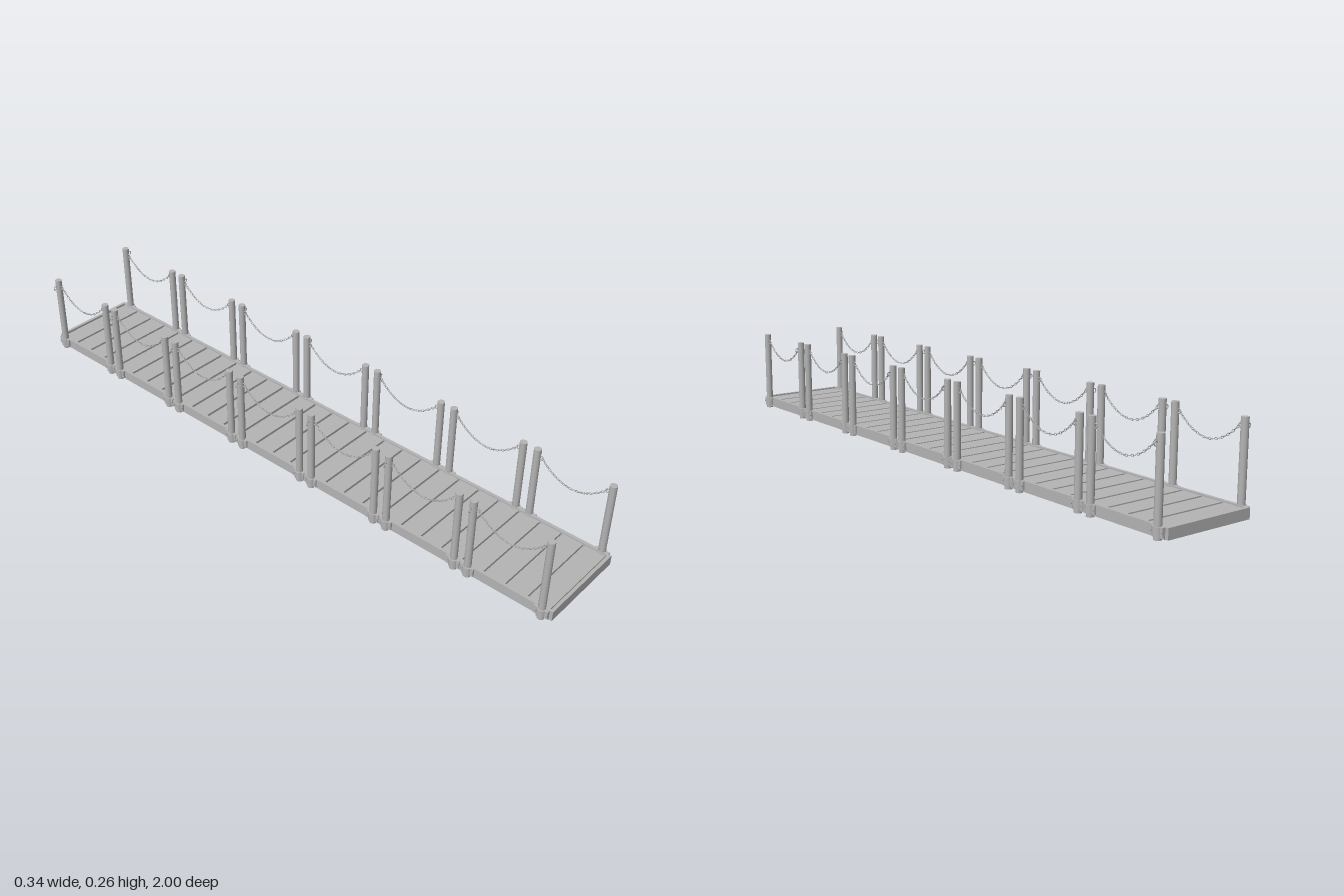
import * as THREE from 'three';
import { mergeGeometries } from 'three/addons/utils/BufferGeometryUtils.js';

const SECTIONS = 7, PITCH = 0.2832, HALF = 0.1185; // bays and half the post spacing in a bay
const POST_X = 0.148, CHAIN_Y = 0.238, SAG = 0.053;

export function createModel() {
  const model = new THREE.Group();
  model.name = 'footbridge';
  const grey = new THREE.MeshStandardMaterial({ color: 0xb4b4b4 });
  grey.name = 'plain grey';

  const add = (parent, name, geometry, x = 0, y = 0, z = 0) => {
    const mesh = new THREE.Mesh(geometry, grey);
    mesh.name = name;
    mesh.position.set(x, y, z);
    parent.add(mesh);
    return mesh;
  };
  const box = (w, h, d) => new THREE.BoxGeometry(w, h, d);

  // Deck: base tray, edge rails, end beams and planks with open joints
  const deck = new THREE.Group();
  deck.name = 'deck';
  model.add(deck);
  add(deck, 'deckBase', box(0.284, 0.014, 1.984), 0, 0.017, 0);
  for (const s of [-1, 1]) {
    add(deck, 'sideRail', box(0.01, 0.031, 1.98), s * 0.143, 0.0205, 0);
    add(deck, 'endBeam', box(0.29, 0.031, 0.01), 0, 0.0205, s * 0.995);
  }
  const planks = SECTIONS * 4, step = 1.98 / planks;
  const plank = box(0.274, 0.009, step - 0.008);
  for (let i = 0; i < planks; i++) {
    add(deck, 'plank', plank, 0, 0.0275, -0.99 + (i + 0.5) * step);
  }

  // Shared post parts
  const postGeo = new THREE.CylinderGeometry(0.0108, 0.0108, 0.263, 16);
  const cuffGeo = new THREE.CylinderGeometry(0.0145, 0.0145, 0.025, 16);
  const flangeGeo = box(0.006, 0.025, 0.044);
  const boltGeo = new THREE.CylinderGeometry(0.003, 0.003, 0.004, 6).rotateZ(Math.PI / 2);
  const ringGeo = new THREE.TorusGeometry(0.006, 0.0016, 6, 14);
  const sideRingGeo = ringGeo.clone().rotateY(Math.PI / 2);

  function addPost(side, z, inward, outerRing) {
    const post = new THREE.Group();
    post.name = 'post';
    post.position.set(side * POST_X, 0, z);
    model.add(post);
    add(post, 'postShaft', postGeo, 0, 0.1315, 0);
    add(post, 'postCuff', cuffGeo, 0, 0.0225, 0);
    add(post, 'cuffFlange', flangeGeo, side * 0.003, 0.0225, 0);
    for (const s of [-1, 1]) add(post, 'flangeBolt', boltGeo, side * 0.007, 0.0225, s * 0.018);
    add(post, 'chainRing', sideRingGeo, 0, CHAIN_Y, inward * 0.014);
    if (outerRing) add(post, 'outerRing', ringGeo, side * 0.015, CHAIN_Y, 0);
  }

  // One hanging chain: stretched links along a parabola, every other one turned
  function chainGeometry() {
    const end = HALF - 0.017, points = [];
    for (let i = 0; i <= 12; i++) {
      const t = i / 6 - 1;
      points.push(new THREE.Vector3(0, CHAIN_Y - SAG * (1 - t * t), t * end));
    }
    const curve = new THREE.CatmullRomCurve3(points);
    const count = 22, parts = [];
    const length = curve.getLength() / count;
    for (let i = 0; i < count; i++) {
      const u = (i + 0.5) / count;
      const p = curve.getPointAt(u), d = curve.getTangentAt(u);
      const link = new THREE.TorusGeometry(0.003, 0.001, 5, 10);
      link.scale(length * 0.63 / 0.004, 1, 1);
      link.rotateX((i % 2) * Math.PI / 2);
      link.rotateY(-Math.PI / 2);
      link.rotateX(-Math.atan2(d.y, d.z));
      link.translate(p.x, p.y, p.z);
      parts.push(link);
    }
    return mergeGeometries(parts);
  }

  // Railings: two posts and a chain per bay on each side
  const chainGeo = chainGeometry();
  for (const side of [-1, 1]) {
    for (let i = 0; i < SECTIONS; i++) {
      const z = (i - (SECTIONS - 1) / 2) * PITCH;
      addPost(side, z - HALF, 1, true);
      addPost(side, z + HALF, -1, false);
      add(model, 'chain', chainGeo, side * POST_X, 0, z);
    }
  }
  return model;
}
